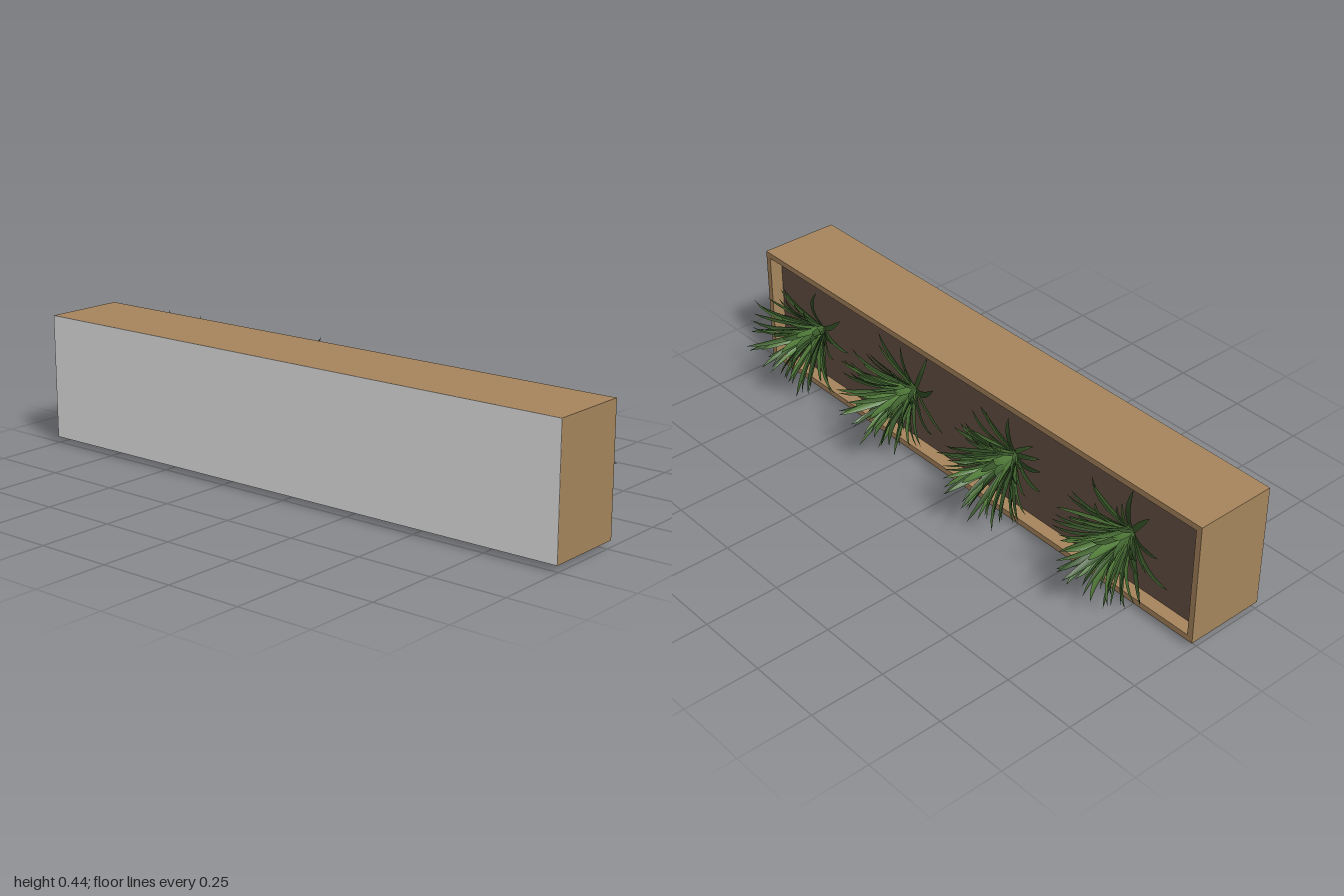
import * as THREE from 'three';
import { mergeGeometries } from 'three/addons/utils/BufferGeometryUtils.js';

const material = (name, color, side = THREE.FrontSide) => {
  const m = new THREE.MeshStandardMaterial({ color, side });
  m.name = name;
  return m;
};

// Box extents: the planter lies on its side and opens towards -z
const H = 0.418, WALL = 0.02, Z0 = -0.02, Z1 = 0.24, FRONT = 0.257, SOIL = 0.025;
const FINGERS = 7, STEP = (Z1 - Z0) / FINGERS;

// Small seeded generator
function seeded(seed) {
  return () => {
    seed = (seed * 16807) % 2147483647;
    return seed / 2147483647;
  };
}

// Panel with finger joints on both ends; u runs across, z along the joint
function fingerPanel(u0, u1, firstOut) {
  const left = [], right = [];
  for (let i = 0; i < FINGERS; i++) {
    const inset = (i % 2 === 0) === firstOut ? 0 : WALL;
    for (const z of [Z0 + i * STEP, Z0 + (i + 1) * STEP]) {
      left.push([u0 + inset, z]);
      right.push([u1 - inset, z]);
    }
  }
  return right.concat(left.reverse());
}

function extrude(points) {
  const shape = new THREE.Shape(points.map(([x, y]) => new THREE.Vector2(x, y)));
  return new THREE.ExtrudeGeometry(shape, { depth: WALL, bevelEnabled: false });
}

// Arching, folded blade; it grows along -z and bends back towards the soil
function leafGeometry(angle, rise, bend, length, width, twist) {
  const N = 8, pos = [], index = [];
  let r = 0.008, h = 0;
  for (let i = 0; i <= N; i++) {
    const t = i / N, e = rise - bend * t * t;
    const a = angle + twist * t * t;
    const w = width * 0.5 * Math.pow(1 - t, 0.7) * (0.65 + 1.3 * t);
    const fold = w * 0.45;
    const out = [Math.cos(a), Math.sin(a)];
    for (const s of [-1, 0, 1]) {
      const lift = s === 0 ? 0 : fold;
      const rr = r - Math.sin(e) * lift;
      pos.push(out[0] * rr - out[1] * w * s, out[1] * rr + out[0] * w * s, -(h + Math.cos(e) * lift));
    }
    r += Math.cos(e) * length / N;
    h += Math.sin(e) * length / N;
    if (i < N) {
      for (const k of [0, 1]) {
        const p = i * 3 + k;
        index.push(p, p + 1, p + 3, p + 1, p + 4, p + 3);
      }
    }
  }
  const g = new THREE.BufferGeometry();
  g.setAttribute('position', new THREE.Float32BufferAttribute(pos, 3));
  g.setIndex(index);
  g.computeVertexNormals();
  return g;
}

// Rosette: low outer leaves, steep inner leaves
function createPlant(seed, leafMaterials) {
  const rnd = seeded(seed), plant = new THREE.Group(), sets = [[], [], []];
  const COUNT = 58;
  for (let i = 0; i < COUNT; i++) {
    const f = i / (COUNT - 1);
    const angle = i * 2.39996 + (rnd() - 0.5) * 0.5;
    const rise = 0.35 + f * 1.1 + (rnd() - 0.5) * 0.2;
    const bend = 0.25 + rnd() * 0.5;
    const length = 0.17 + 0.05 * f + rnd() * 0.06;
    const width = 0.02 + rnd() * 0.012;
    sets[i % 3].push(leafGeometry(angle, rise, bend, length, width, (rnd() - 0.5) * 0.4));
  }
  sets.forEach((set, i) => {
    const mesh = new THREE.Mesh(mergeGeometries(set), leafMaterials[i]);
    mesh.name = ['darkLeaves', 'midLeaves', 'lightLeaves'][i];
    plant.add(mesh);
  });
  return plant;
}

export function createModel() {
  const model = new THREE.Group();
  model.name = 'planterBox';
  const wood = material('wood', 0xa7865d);
  const base = material('pale base', 0xeaeaea);
  const soilBrown = material('soil', 0x665144);
  const greens = [
    material('dark leaf', 0x38572b, THREE.DoubleSide),
    material('mid leaf', 0x456a33, THREE.DoubleSide),
    material('light leaf', 0x527c3a, THREE.DoubleSide),
  ];
  const add = (name, geometry, mat, x = 0, y = 0, z = 0) => {
    const mesh = new THREE.Mesh(geometry, mat);
    mesh.name = name;
    mesh.position.set(x, y, z);
    model.add(mesh);
  };

  // Long walls, with fingers reaching through the end walls
  const longWall = extrude(fingerPanel(-1, 1, true)).rotateX(Math.PI / 2);
  add('upperWall', longWall, wood, 0, H, 0);
  add('lowerWall', longWall, wood, 0, WALL, 0);

  // End walls, with the matching fingers
  const endPoints = fingerPanel(0, H, false).map(([y, z]) => [z, y]);
  const endWall = extrude(endPoints).rotateY(-Math.PI / 2);
  add('leftEndWall', endWall, wood, 1, 0, 0);
  add('rightEndWall', endWall, wood, -1 + WALL, 0, 0);

  // Base board and its pale outer face
  const skin = 0.001, board = FRONT - skin - Z1;
  add('baseBoard', new THREE.BoxGeometry(2, H, board), wood, 0, H / 2, Z1 + board / 2);
  add('baseFace', new THREE.BoxGeometry(2, H, skin), base, 0, H / 2, FRONT - skin / 2);

  // Soil fill, set back from the rim
  add('soil', new THREE.BoxGeometry(2 - 2 * WALL, H - 2 * WALL, Z1 - SOIL), soilBrown,
    0, H / 2, (Z1 + SOIL) / 2);

  // Row of four plants
  [-0.7, -0.2, 0.28, 0.76].forEach((x, i) => {
    const plant = createPlant(1237 + i * 7919, greens);
    plant.name = 'plant' + (i + 1);
    plant.position.set(x, 0.205, SOIL + 0.002);
    model.add(plant);
  });
  return model;
}
